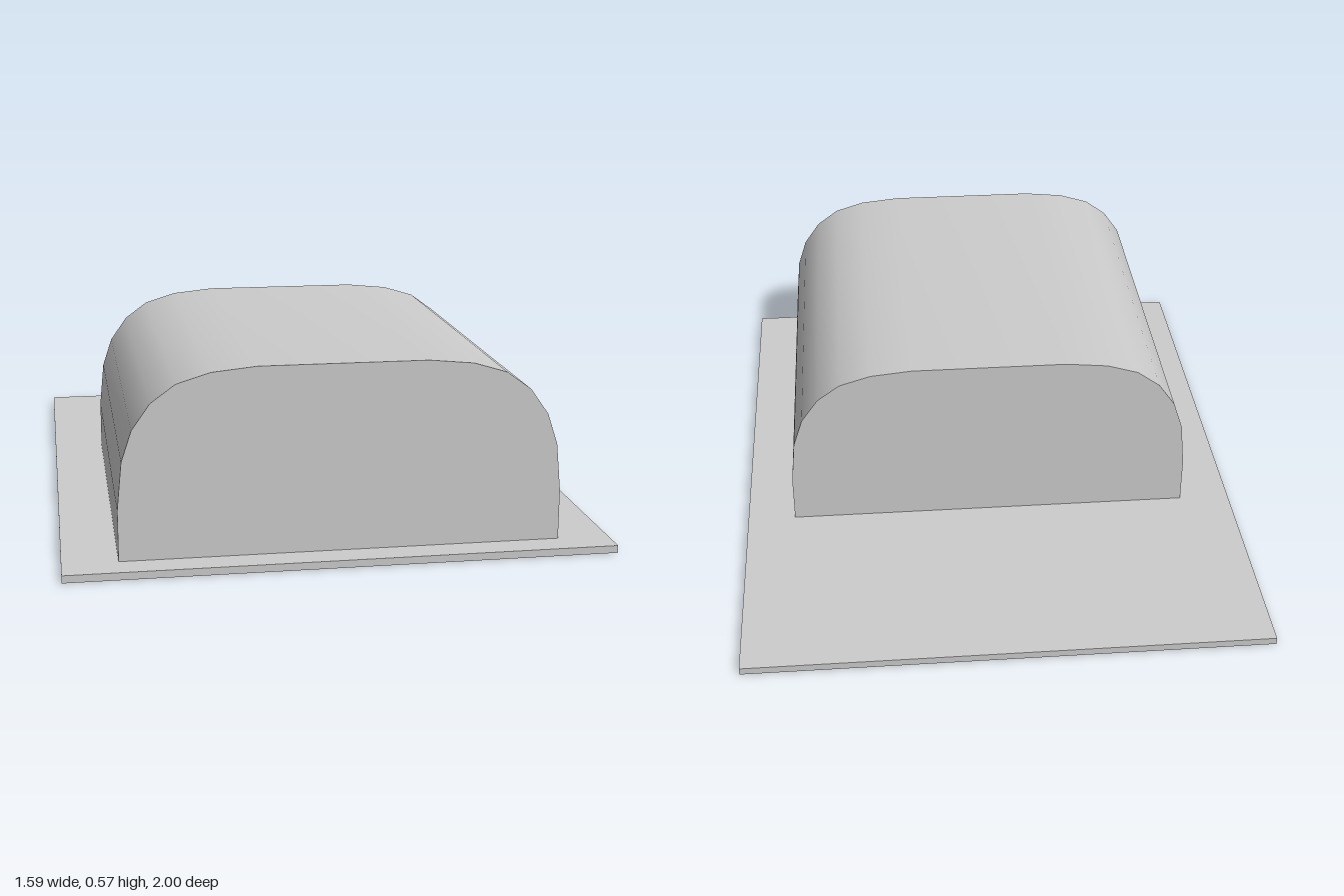
import * as THREE from 'three';
import { toCreasedNormals } from 'three/addons/utils/BufferGeometryUtils.js';

const PLATE = { width: 1.59, height: 0.022, depth: 2 };
const BODY = { centerX: 0.004, back: -0.294, front: 0.912 };

// Right half of the hood's cross-section, from the plate up to the flat top
const HALF_PROFILE = [
  [0.639, PLATE.height], [0.639, 0.17], [0.625, 0.31], [0.595, 0.4],
  [0.542, 0.475], [0.471, 0.527], [0.373, 0.557], [0.243, 0.57],
];

export function createModel() {
  const model = new THREE.Group();
  model.name = 'hoodOnPlate';
  const material = new THREE.MeshStandardMaterial({ color: 0xcccccc });

  // Thin base plate
  const plate = new THREE.Mesh(
    new THREE.BoxGeometry(PLATE.width, PLATE.height, PLATE.depth), material);
  plate.name = 'basePlate';
  plate.position.y = PLATE.height / 2;
  model.add(plate);

  // Rounded hood: mirrored cross-section extruded front to back
  const mirrored = HALF_PROFILE.map(([x, y]) => [-x, y]).reverse();
  const outline = [...HALF_PROFILE, ...mirrored].map(([x, y]) => new THREE.Vector2(x, y));
  const hoodGeometry = new THREE.ExtrudeGeometry(new THREE.Shape(outline), {
    depth: BODY.front - BODY.back,
    bevelEnabled: false,
  });
  const hood = new THREE.Mesh(toCreasedNormals(hoodGeometry, 0.7), material);
  hood.name = 'roundedHood';
  hood.position.set(BODY.centerX, 0, BODY.back);
  model.add(hood);

  return model;
}
